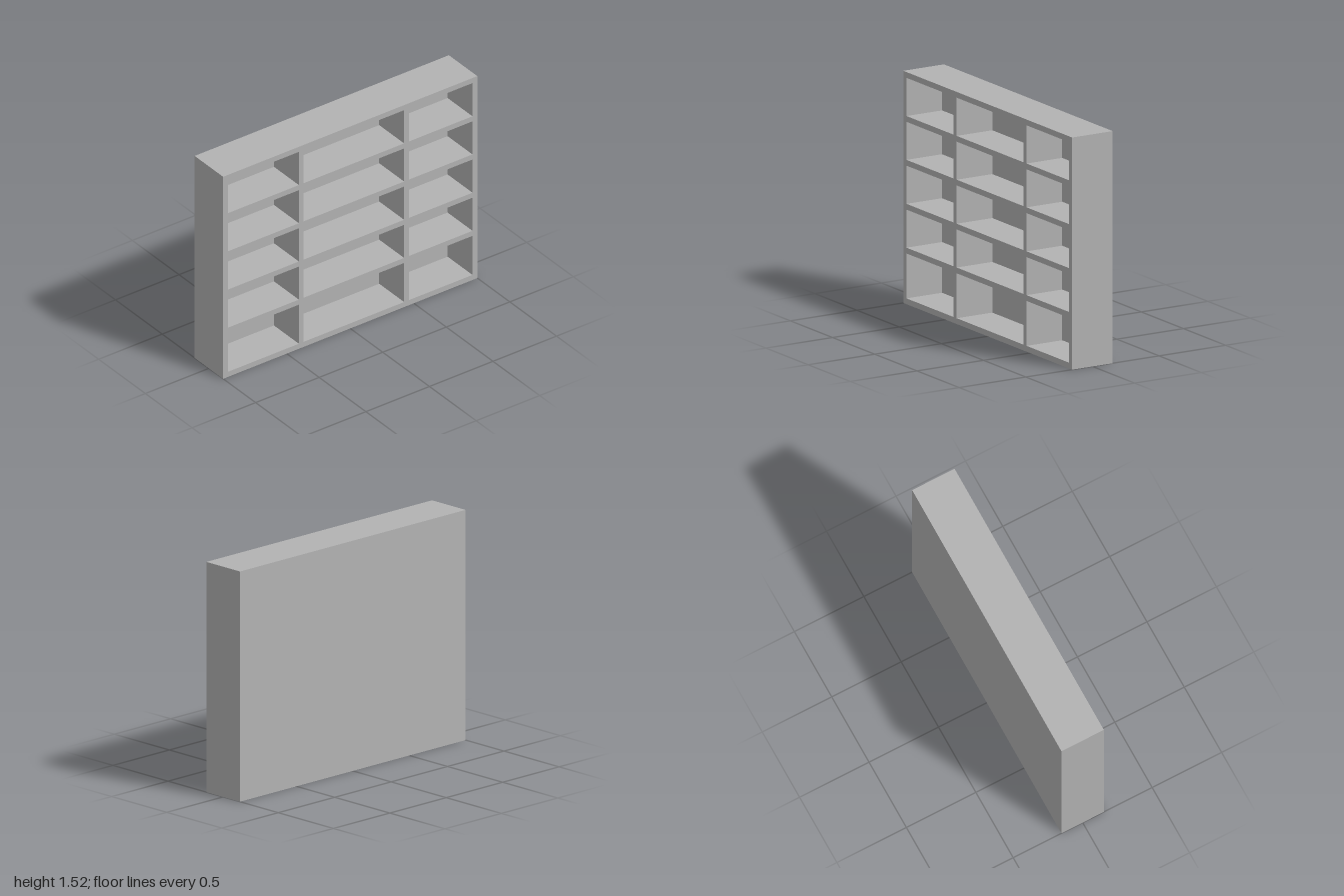
import * as THREE from 'three';

const WIDTH = 2, HEIGHT = 1.52, DEPTH = 0.305, BACK = 0.038;

// Compartment limits: [start, end] along x and y
const COLUMNS = [[-0.962, -0.404], [-0.367, 0.424], [0.461, 0.962]];
const ROWS = [[0.038, 0.332], [0.37, 0.619], [0.657, 0.907], [0.945, 1.194], [1.232, 1.482]];

function rectangle(target, x0, x1, y0, y1) {
  target.moveTo(x0, y0);
  target.lineTo(x1, y0);
  target.lineTo(x1, y1);
  target.lineTo(x0, y1);
  target.closePath();
  return target;
}

export function createModel() {
  const grey = new THREE.MeshStandardMaterial({ color: 0xb2b2b2 });
  grey.name = 'grey';

  const group = new THREE.Group();
  group.name = 'shelfUnit';

  // Outer case, shelves and dividers as one pierced block
  const outline = rectangle(new THREE.Shape(), -WIDTH / 2, WIDTH / 2, 0, HEIGHT);
  for (const [x0, x1] of COLUMNS) {
    for (const [y0, y1] of ROWS) {
      outline.holes.push(rectangle(new THREE.Path(), x0, x1, y0, y1));
    }
  }
  const frameGeometry = new THREE.ExtrudeGeometry(outline, { depth: DEPTH - BACK, bevelEnabled: false });
  const frame = new THREE.Mesh(frameGeometry, grey);
  frame.name = 'shelfFrame';
  frame.position.z = -DEPTH / 2 + BACK;
  group.add(frame);

  // Solid panel closing the back
  const back = new THREE.Mesh(new THREE.BoxGeometry(WIDTH, HEIGHT, BACK), grey);
  back.name = 'backPanel';
  back.position.set(0, HEIGHT / 2, -DEPTH / 2 + BACK / 2);
  group.add(back);

  return group;
}
